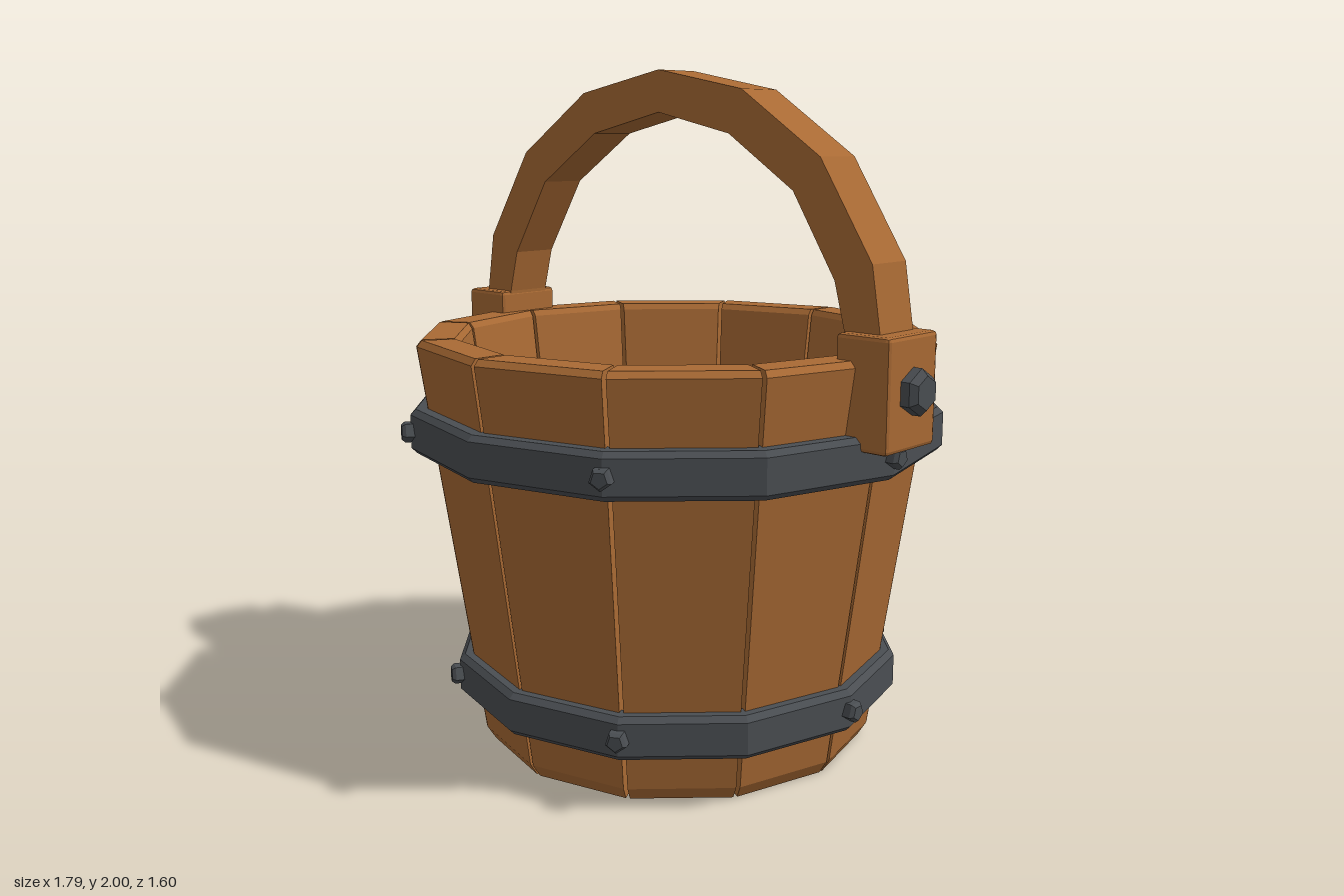
import * as THREE from 'three';
import { RoundedBoxGeometry } from 'three/addons/geometries/RoundedBoxGeometry.js';

const SIDES = 12;
const HALF = Math.PI / SIDES;

// Gives every face its own normal for a faceted look
function flat(geometry) {
  const g = geometry.index ? geometry.toNonIndexed() : geometry;
  g.computeVertexNormals();
  return g;
}

// One tapered stave facing +z; each level is [y, outer radius, inner radius]
function staveGeometry(levels, gap) {
  const rings = levels.map(([y, ro, ri]) => {
    const uo = ro * Math.cos(HALF), to = ro * Math.sin(HALF) - gap;
    const ui = ri * Math.cos(HALF), ti = ri * Math.sin(HALF) - gap;
    return [[-to, y, uo], [to, y, uo], [ti, y, ui], [-ti, y, ui]];
  });
  const pos = [];
  const quad = (a, b, c, d) => pos.push(...a, ...b, ...c, ...a, ...c, ...d);
  for (let k = 0; k < rings.length - 1; k++) {
    for (let i = 0; i < 4; i++) {
      const j = (i + 1) % 4;
      quad(rings[k][i], rings[k][j], rings[k + 1][j], rings[k + 1][i]);
    }
  }
  const [b0, b1, b2, b3] = rings[0];
  quad(b3, b2, b1, b0);
  quad(...rings[rings.length - 1]);
  const g = new THREE.BufferGeometry();
  g.setAttribute('position', new THREE.Float32BufferAttribute(pos, 3));
  return flat(g);
}

// Closed hoop with chamfered outer edges
function hoopGeometry(y0, y1, inner, outer) {
  const c = 0.016;
  const profile = [
    [inner, y0], [outer - c, y0], [outer, y0 + c], [outer, y1 - c],
    [outer - c, y1], [inner, y1], [inner, y0],
  ].map(([r, y]) => new THREE.Vector2(r, y));
  return flat(new THREE.LatheGeometry(profile, SIDES));
}

// Bolt head rising along +z from z = 0, with a chamfered rim
function boltGeometry(radius, height, sides) {
  const profile = [
    [radius, -0.03], [radius, height * 0.6], [radius * 0.72, height], [0, height],
  ].map(([r, y]) => new THREE.Vector2(r, y));
  return flat(new THREE.LatheGeometry(profile, sides).rotateX(Math.PI / 2));
}

export function createModel() {
  const wood = new THREE.MeshStandardMaterial({ color: 0xa96a34 });
  wood.name = 'wood';
  const iron = new THREE.MeshStandardMaterial({ color: 0x4a4e52 });
  iron.name = 'iron';

  const model = new THREE.Group();
  model.name = 'bucket';
  const add = (name, geometry, material) => {
    const mesh = new THREE.Mesh(geometry, material);
    mesh.name = name;
    model.add(mesh);
    return mesh;
  };

  // Staves, separated by narrow gaps
  const stave = staveGeometry([
    [0, 0.58, 0.51],
    [0.04, 0.605, 0.5],
    [1.222, 0.777, 0.655],
    [1.24, 0.762, 0.667],
  ], 0.006);
  for (let i = 0; i < SIDES; i++) {
    add('stave', stave, wood).rotation.y = (2 * i + 1) * HALF;
  }

  // Floor
  const floor = flat(new THREE.CylinderGeometry(0.503, 0.503, 0.04, SIDES));
  add('floor', floor, wood).position.y = 0.05;

  // Hoops with six rivets each, set on alternate corners
  const rivet = boltGeometry(0.032, 0.027, 5);
  const hoops = [
    { name: 'lowerHoop', y0: 0.155, y1: 0.28, inner: 0.62, outer: 0.68, mid: 0.22 },
    { name: 'upperHoop', y0: 0.91, y1: 1.04, inner: 0.73, outer: 0.8, mid: 0.975 },
  ];
  for (const h of hoops) {
    add(h.name, hoopGeometry(h.y0, h.y1, h.inner, h.outer), iron);
    for (let i = 0; i < 6; i++) {
      const a = Math.PI / 6 + (i * Math.PI) / 3;
      const r = add('rivet', rivet, iron);
      r.position.set(Math.sin(a) * h.outer, h.mid, Math.cos(a) * h.outer);
      r.rotation.y = a;
    }
  }

  // Arched handle: half outline mirrored across x
  const outer = [[0.81, 1.2], [0.795, 1.31], [0.765, 1.49], [0.59, 1.76], [0.315, 1.94]];
  const inner = [[0.69, 1.2], [0.68, 1.31], [0.645, 1.44], [0.5, 1.67], [0.27, 1.82]];
  const arch = (pts, top) => [
    ...pts, [0, top], ...pts.slice().reverse().map(([x, y]) => [-x, y]),
  ];
  const outline = [...arch(outer, 2), ...arch(inner, 1.88).reverse()];
  const handleShape = new THREE.Shape(outline.map(([x, y]) => new THREE.Vector2(x, y)));
  const handle = new THREE.ExtrudeGeometry(handleShape, { depth: 0.15, bevelEnabled: false });
  add('handle', flat(handle.translate(0, 0, -0.075)), wood);

  // Handle blocks and their hexagonal bolts
  const block = flat(new RoundedBoxGeometry(0.17, 0.31, 0.225, 1, 0.012));
  const bolt = boltGeometry(0.064, 0.045, 6);
  for (const side of [1, -1]) {
    add('handleBlock', block, wood).position.set(side * 0.765, 1.155, 0);
    const b = add('handleBolt', bolt, iron);
    b.position.set(side * 0.85, 1.16, 0);
    b.rotation.y = (side * Math.PI) / 2;
  }

  return model;
}
